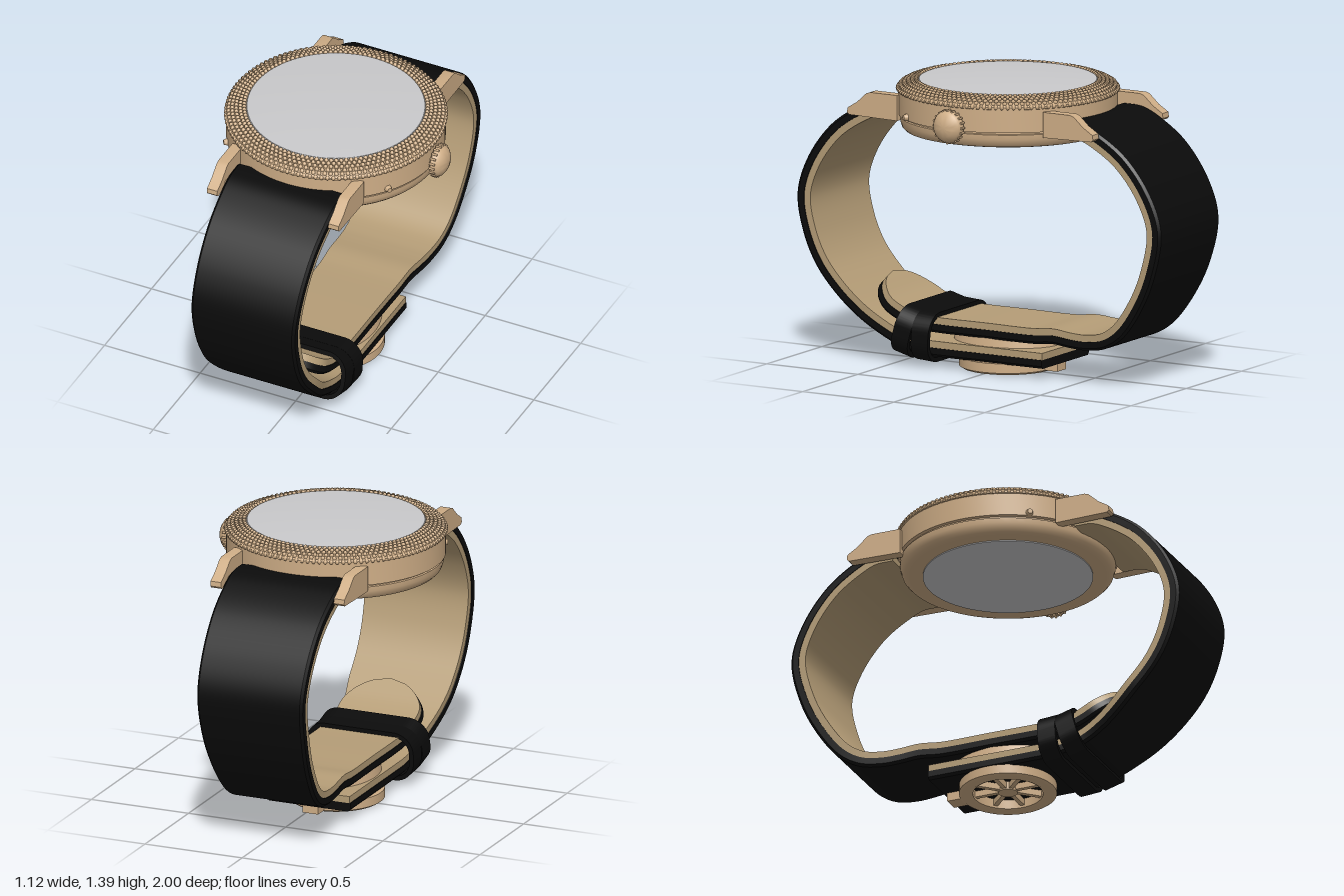
import * as THREE from 'three';
import { mergeGeometries, toCreasedNormals } from 'three/addons/utils/BufferGeometryUtils.js';

const CX = -0.035; // centre line of case and strap
const mat = (name, color) => Object.assign(new THREE.MeshStandardMaterial({ color }), { name });
const V2 = (a) => a.map(([x, y]) => new THREE.Vector2(x, y));

// Turned solid: profile of [radius, y], bottom to top
const lathe = (pts, seg = 96, crease = 0.6) =>
  toCreasedNormals(new THREE.LatheGeometry(V2(pts), seg), crease);

// Strap layer swept along a [z, y] path; off0..off1 is the depth inward from the path
function strapLayer(path, side, width, off0, off1, bevel) {
  const N = 170;
  const curve = new THREE.CatmullRomCurve3(path.map(([z, y]) => new THREE.Vector3(0, y, z)), false, 'centripetal');
  curve.arcLengthDivisions = 600;
  const pos = [], idx = [], K = 6;
  for (let i = 0; i <= N; i++) {
    const t = i / N, p = curve.getPointAt(t), d = curve.getTangentAt(t), w = width(t);
    const ny = -side * d.z, nz = side * d.y;
    const b = Math.min(bevel, w * 0.5);
    const section = [[-w + b, off0], [w - b, off0], [w, off0 + b], [w, off1], [-w, off1], [-w, off0 + b]];
    for (const [u, o] of section) pos.push(CX + u, p.y + ny * o, p.z + nz * o);
  }
  const tri = (a, b, c) => (side > 0 ? idx.push(a, c, b) : idx.push(a, b, c));
  for (let i = 0; i < N; i++) for (let j = 0; j < K; j++) {
    const a = i * K + j, b = i * K + (j + 1) % K;
    tri(a, b, b + K);
    tri(a, b + K, a + K);
  }
  for (let j = 1; j < K - 1; j++) {
    tri(0, j + 1, j);
    tri(N * K, N * K + j, N * K + j + 1);
  }
  const g = new THREE.BufferGeometry();
  g.setAttribute('position', new THREE.Float32BufferAttribute(pos, 3));
  g.setIndex(idx);
  return toCreasedNormals(g, 0.5);
}

function roundedRect(target, w, h, r) {
  const x = w / 2 - r, y = h / 2 - r, q = Math.PI / 2;
  target.absarc(x, y, r, 0, q);
  target.absarc(-x, y, r, q, 2 * q);
  target.absarc(-x, -y, r, 2 * q, 3 * q);
  target.absarc(x, -y, r, 3 * q, 4 * q);
  target.closePath();
  return target;
}

export function createModel() {
  const gold = mat('rose gold', 0xcfae87);
  const liningMat = mat('tan lining', 0xb59d77);
  const black = mat('black leather', 0x0b0b0b);
  const glass = mat('grey glass', 0xc9c9cb);
  const root = new THREE.Group();
  root.name = 'watch';
  const add = (name, geo, material, x = 0, y = 0, z = 0) => {
    const m = new THREE.Mesh(geo, material);
    m.name = name;
    m.position.set(x, y, z);
    root.add(m);
    return m;
  };

  // Case, with a groove between the back and the middle band
  add('caseBody', lathe([[0, 1.137], [0.465, 1.137], [0.485, 1.142], [0.498, 1.155], [0.506, 1.18], [0.508, 1.203],
    [0.5, 1.206], [0.5, 1.212], [0.516, 1.215], [0.516, 1.325], [0.522, 1.327], [0.522, 1.337],
    [0.505, 1.352], [0.48, 1.362], [0.43, 1.373], [0.42, 1.373], [0, 1.373]]), gold, CX);
  add('crystal', lathe([[0.422, 1.372], [0.418, 1.379], [0.3, 1.387], [0.15, 1.392], [0, 1.394]]), glass, CX);
  add('caseBackWindow', new THREE.CylinderGeometry(0.4, 0.4, 0.006, 80), glass, CX, 1.135);

  // Studded bezel: rings of tiny beads
  const beads = [];
  const rows = [[0.516, 1.335], [0.504, 1.35], [0.487, 1.359], [0.468, 1.366], [0.449, 1.371], [0.431, 1.375]];
  rows.forEach(([r, y], k) => {
    const n = 116;
    for (let i = 0; i < n; i++) {
      const a = ((i + (k % 2) * 0.5) / n) * Math.PI * 2;
      const g = new THREE.SphereGeometry(0.0115, 6, 4);
      g.translate(r * Math.cos(a), y, r * Math.sin(a));
      beads.push(g);
    }
  });
  add('bezelStuds', mergeGeometries(beads), gold, CX);

  // Four lugs
  const lugShape = new THREE.Shape(V2([[0.4, 1.19], [0.665, 1.195], [0.675, 1.205], [0.672, 1.228],
    [0.62, 1.26], [0.57, 1.305], [0.55, 1.312], [0.4, 1.312]]));
  for (const sx of [-1, 1]) for (const sz of [-1, 1]) {
    const g = new THREE.ExtrudeGeometry(lugShape, { depth: 0.054, bevelEnabled: false });
    g.translate(0, 0, -0.027).rotateY(-sz * Math.PI / 2);
    add('lug', toCreasedNormals(g, 0.5), gold, CX + sx * 0.3175);
  }

  // Spring bars between the lugs
  for (const sz of [-1, 1]) {
    add('springBar', new THREE.CylinderGeometry(0.015, 0.015, 0.62, 12).rotateZ(Math.PI / 2), gold, CX, 1.22, sz * 0.58);
  }

  // Fluted crown on the left side
  const crown = lathe([[0, 0], [0.03, 0], [0.03, 0.015], [0.07, 0.015], [0.078, 0.022], [0.078, 0.04],
    [0.068, 0.058], [0.045, 0.073], [0.02, 0.08], [0, 0.081]], 32);
  add('crown', crown.rotateZ(-Math.PI / 2), gold, 0.472, 1.235);
  for (let i = 0; i < 20; i++) {
    const a = (i / 20) * Math.PI * 2;
    add('crownRidge', new THREE.CylinderGeometry(0.006, 0.006, 0.028, 6).rotateZ(Math.PI / 2), gold,
      0.503, 1.235 + 0.077 * Math.cos(a), 0.077 * Math.sin(a));
  }

  // Small studs on the front flanks of the case
  for (const sx of [-1, 1]) {
    const a = Math.atan2(0.3, sx * 0.42);
    const g = new THREE.CylinderGeometry(0.012, 0.02, 0.026, 12).rotateZ(-Math.PI / 2).rotateY(-a);
    add('sideStud', g, gold, CX + 0.522 * Math.cos(a), 1.23, 0.522 * Math.sin(a));
  }

  // Front strap runs down and under; back strap runs inside it to a rounded tip
  const frontPath = [[0.47, 1.262], [0.57, 1.258], [0.66, 1.222], [0.81, 1.12], [0.94, 0.95], [0.998, 0.775],
    [0.968, 0.588], [0.893, 0.428], [0.76, 0.278], [0.625, 0.165], [0.47, 0.083], [0.33, 0.056],
    [0.2, 0.053], [0, 0.053], [-0.315, 0.053]];
  const backPath = [[-0.47, 1.262], [-0.57, 1.258], [-0.66, 1.222], [-0.81, 1.12], [-0.94, 0.95], [-0.998, 0.775],
    [-0.957, 0.56], [-0.877, 0.39], [-0.77, 0.25], [-0.67, 0.187], [-0.555, 0.166], [-0.46, 0.168],
    [-0.367, 0.176], [-0.26, 0.166], [0, 0.166], [0.27, 0.166], [0.37, 0.172], [0.46, 0.195],
    [0.57, 0.252], [0.675, 0.34]];
  const smooth = THREE.MathUtils.smoothstep;
  const frontWidth = (t) => 0.285 - 0.025 * Math.min(1, t / 0.55) - 0.045 * smooth(t, 0.52, 0.68);
  const backWidth = (t) => {
    const w = 0.285 - 0.02 * Math.min(1, t / 0.4) - 0.06 * smooth(t, 0.3, 0.7);
    const k = Math.max(0, (t - 0.935) / 0.065);
    return w * Math.max(0.06, Math.sqrt(Math.max(0, 1 - k * k)));
  };
  for (const [name, path, side, width] of [['frontStrap', frontPath, 1, frontWidth], ['backStrap', backPath, -1, backWidth]]) {
    add(name, strapLayer(path, side, width, 0, 0.042, 0.012), black);
    add(name + 'Lining', strapLayer(path, side, (t) => width(t) - 0.004, 0.042, 0.075, 0), liningMat);
  }

  // Two keeper loops
  const keeperShape = roundedRect(new THREE.Shape(), 0.55, 0.24, 0.1);
  keeperShape.holes.push(roundedRect(new THREE.Path(), 0.506, 0.196, 0.078));
  for (const [y, z, tilt] of [[0.16, 0.42, -0.27], [0.145, 0.32, -0.07]]) {
    const g = new THREE.ExtrudeGeometry(keeperShape, { depth: 0.092, bevelEnabled: false, curveSegments: 12 });
    g.translate(0, 0, -0.046).rotateX(tilt);
    add('keeperLoop', toCreasedNormals(g, 0.5), black, CX, y, z);
  }

  // Clasp: plate between the strap layers, open spoked wheel underneath
  add('claspPlate', new THREE.CylinderGeometry(0.26, 0.27, 0.045, 64), gold, CX, 0.146).scale.x = 0.75;
  add('claspRing', lathe([[0.165, 0.008], [0.18, 0], [0.215, 0], [0.23, 0.01], [0.23, 0.055],
    [0.165, 0.055], [0.165, 0.008]], 64), gold, CX);
  for (let i = 0; i < 4; i++) {
    add('claspSpoke', new THREE.BoxGeometry(0.34, 0.03, 0.022), gold, CX, 0.034).rotation.y = i * Math.PI / 4;
  }
  add('claspHub', new THREE.CylinderGeometry(0.045, 0.045, 0.04, 24), gold, CX, 0.033);
  add('claspTab', new THREE.BoxGeometry(0.08, 0.042, 0.08), gold, CX, 0.031, -0.255);

  return root;
}
